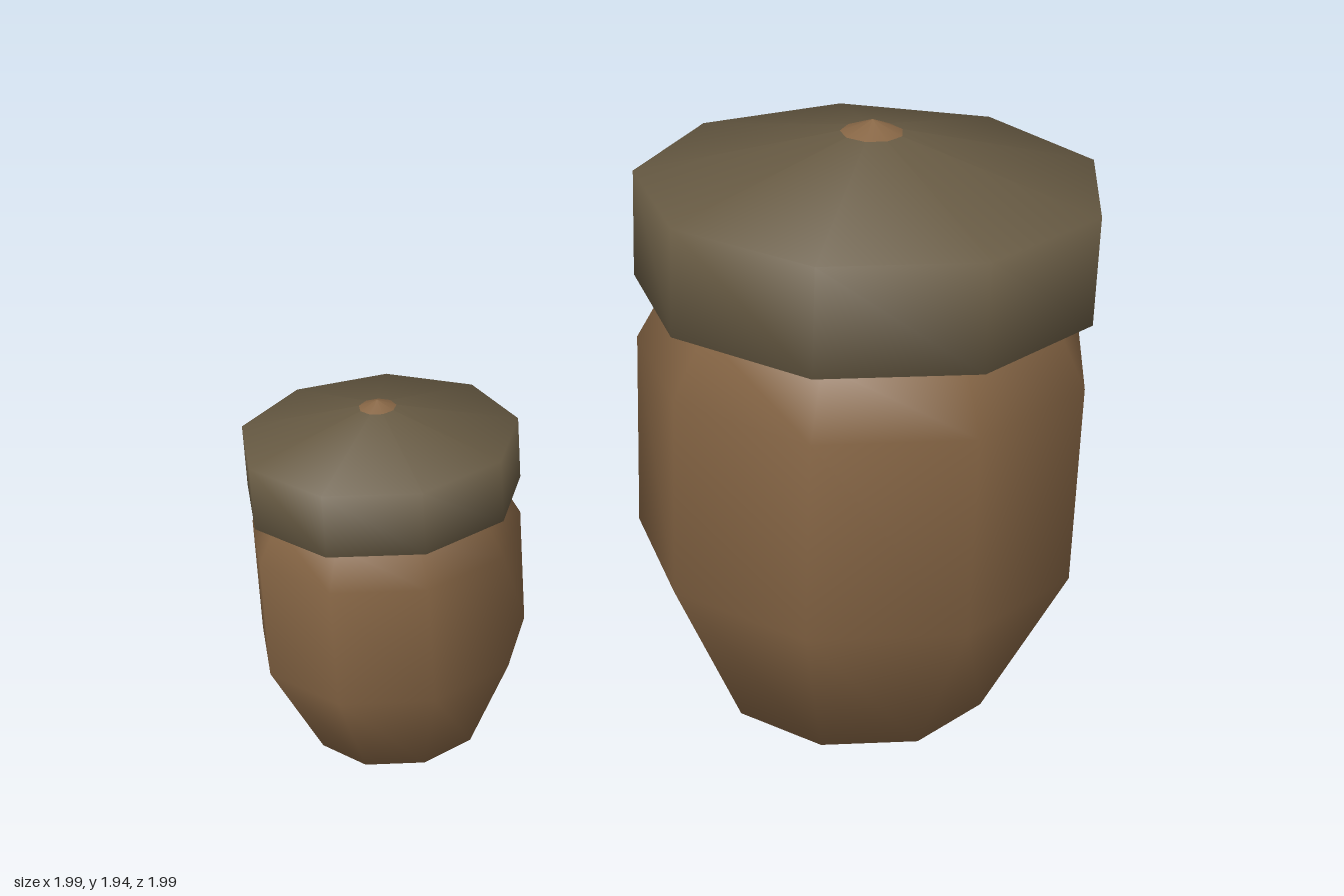
import * as THREE from 'three';

const SIDES = 9;

// Nine-sided smooth lathe with one corner on +x; profile runs bottom to top
function turned(name, profile, material) {
  const points = profile.map(([r, y]) => new THREE.Vector2(r, y));
  const mesh = new THREE.Mesh(new THREE.LatheGeometry(points, SIDES, Math.PI / 2), material);
  mesh.name = name;
  return mesh;
}

export function createModel() {
  const nutBrown = new THREE.MeshStandardMaterial({ color: 0x86664a });
  nutBrown.name = 'nut brown';
  nutBrown.color.setHex(0x876645);
  const capOlive = new THREE.MeshStandardMaterial({ color: 0x675a43 });
  capOlive.name = 'cap olive';

  function acorn(name) {
    const group = new THREE.Group();
    group.name = name;
    // Nut, tucked up inside the cap
    group.add(turned('nut', [
      [0, 0], [0.41, 0.19], [0.645, 0.68], [0.645, 1.27], [0.55, 1.45], [0.45, 1.6],
    ], nutBrown));
    // Cap with a turned-in lower rim and a shallow cone on top
    group.add(turned('cap', [
      [0.53, 1.433], [0.652, 1.46], [0.652, 1.768], [0, 1.925],
    ], capOlive));
    // Stem tip poking through the cap
    group.add(turned('stemTip', [
      [0.16, 1.87], [0.085, 1.905], [0, 1.94],
    ], nutBrown));
    return group;
  }

  const model = new THREE.Group();
  model.name = 'acorns';

  const large = acorn('largeAcorn');
  large.position.set(0.34, 0, 0.352);

  const small = acorn('smallAcorn');
  small.scale.setScalar(0.598);
  small.position.set(-0.628, 0.045, -0.615);

  model.add(large, small);
  return model;
}
